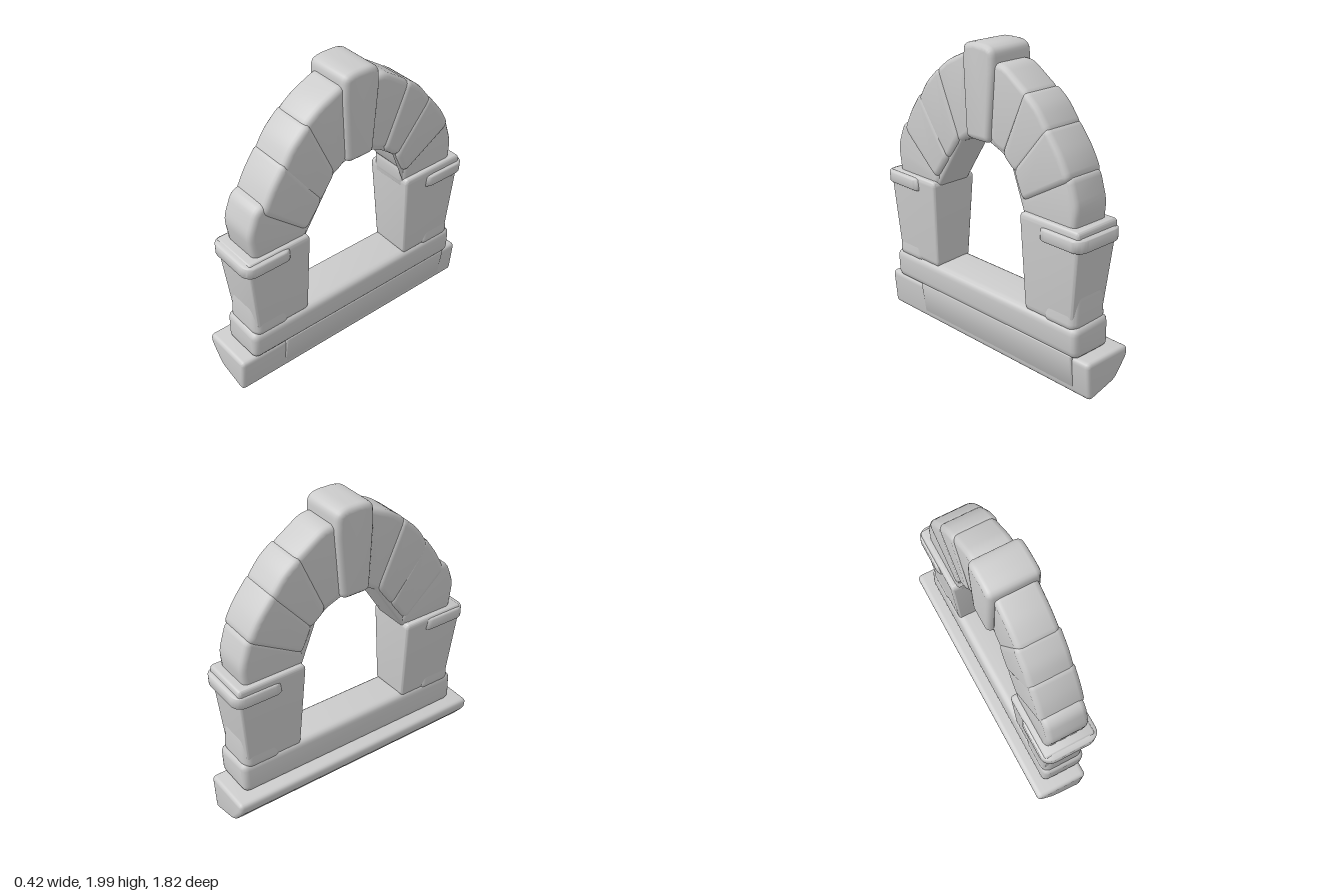
import * as THREE from 'three';
import { toCreasedNormals } from 'three/addons/utils/BufferGeometryUtils.js';
import { RoundedBoxGeometry } from 'three/addons/geometries/RoundedBoxGeometry.js';

const stone = new THREE.MeshStandardMaterial({ color: 0xcccccc });

// Closed outline with softened corners
function roundedShape(points, r) {
  const p = points.map(([x, y]) => new THREE.Vector2(x, y));
  const shape = new THREE.Shape();
  p.forEach((c, i) => {
    const cut = (q) => c.clone().lerp(q, Math.min(0.45, r / c.distanceTo(q)));
    const a = cut(p[(i + p.length - 1) % p.length]);
    const b = cut(p[(i + 1) % p.length]);
    if (i) shape.lineTo(a.x, a.y); else shape.moveTo(a.x, a.y);
    shape.quadraticCurveTo(c.x, c.y, b.x, b.y);
  });
  shape.closePath();
  return shape;
}

// Bevelled prism of an outline, centred on its depth
function prism(points, depth, bevel, r) {
  const geo = new THREE.ExtrudeGeometry(roundedShape(points, r), {
    depth: depth - 2 * bevel, bevelSize: bevel, bevelThickness: bevel,
    bevelOffset: -bevel, bevelSegments: 3, curveSegments: 4,
  });
  return geo.translate(0, 0, bevel - depth / 2);
}

export function createModel() {
  const model = new THREE.Group();

  const add = (name, geo, crease = 0.75) => {
    const mesh = new THREE.Mesh(toCreasedNormals(geo, crease), stone);
    mesh.name = name;
    model.add(mesh);
    return mesh;
  };

  // Outline given as [z, y], running across the wall from x0 to x1
  const slab = (name, outline, x0, x1, bevel, r) =>
    add(name, prism(outline, x1 - x0, bevel, r).rotateY(-Math.PI / 2).translate((x0 + x1) / 2, 0, 0));

  // Rounded block whose bottom and top rectangles [x0, x1, z0, z1] differ
  const tapered = (name, y0, y1, low, high, radius) => {
    const geo = new RoundedBoxGeometry(1, 1, 1, 4, radius);
    const pos = geo.attributes.position;
    for (let i = 0; i < pos.count; i++) {
      const t = pos.getY(i) + 0.5;
      const [xa, xb, za, zb] = low.map((v, k) => THREE.MathUtils.lerp(v, high[k], t));
      pos.setXYZ(i,
        THREE.MathUtils.lerp(xa, xb, pos.getX(i) + 0.5),
        THREE.MathUtils.lerp(y0, y1, t),
        THREE.MathUtils.lerp(za, zb, pos.getZ(i) + 0.5));
    }
    return add(name, geo, 0.9);
  };

  // Sill: undercut foundation stone, its side facing and the upper beam
  add('foundation', prism(
    [[-0.215, 0.255], [-0.215, 0.19], [-0.11, 0.06], [0.12, 0.0], [0.145, 0.255]], 1.82, 0.025, 0.035));
  add('foundationFacing', prism(
    [[0.0, 0.27], [0.16, 0.27], [0.125, 0.04], [0.0, 0.06]], 1.36, 0.01, 0.02)).position.z = -0.1;
  add('upperBeam', prism(
    [[-0.13, 0.47], [-0.135, 0.25], [0.16, 0.25], [0.17, 0.45]], 1.65, 0.04, 0.05));

  // Pillars, with a swollen foot stone and a rolled capital on the outer side
  for (const s of [1, -1]) {
    const side = s > 0 ? 'front' : 'back';
    const span = (x0, x1, a, b) => [x0, x1, Math.min(s * a, s * b), Math.max(s * a, s * b)];
    tapered(side + 'Pillar', 0.44, s > 0 ? 1.04 : 1.07,
      span(-0.12, 0.155, 0.4, 0.78), span(-0.165, 0.185, s > 0 ? 0.39 : 0.37, 0.84), 0.06);
    tapered(side + 'FootStone', 0.42, 0.69,
      span(-0.135, 0.17, 0.54, 0.81), span(-0.11, 0.14, 0.58, 0.795), 0.2);
    tapered(side + 'Capital', 0.935, 1.035,
      span(-0.175, 0.2, 0.52, 0.865), span(-0.175, 0.205, 0.53, 0.865), 0.2);
  }

  // Continuous masonry behind the arch stones
  slab('frontArchCore', [[0.4, 1.0], [0.76, 1.0], [0.76, 1.2], [0.67, 1.36], [0.53, 1.57],
    [0.36, 1.77], [0.05, 1.91], [0.05, 1.42], [0.16, 1.38]], -0.115, 0.14, 0.02, 0.02);
  slab('backArchCore', [[-0.37, 1.0], [-0.76, 1.0], [-0.75, 1.2], [-0.68, 1.4], [-0.55, 1.59],
    [-0.38, 1.76], [-0.05, 1.88], [-0.05, 1.42], [-0.18, 1.37], [-0.3, 1.28], [-0.37, 1.14]].reverse(),
  -0.115, 0.14, 0.02, 0.02);

  // Arch stones, from springer to crown
  const frontStones = [
    [[0.4, 1.0], [0.77, 1.0], [0.8, 1.2], [0.74, 1.36], [0.65, 1.39], [0.36, 1.1]],
    [[0.4, 1.06], [0.71, 1.33], [0.64, 1.47], [0.54, 1.61], [0.27, 1.24]],
    [[0.29, 1.21], [0.58, 1.53], [0.49, 1.68], [0.36, 1.8], [0.17, 1.38]],
    [[0.2, 1.34], [0.4, 1.77], [0.28, 1.86], [0.1, 1.94], [0.08, 1.42]],
  ];
  const backStones = [
    [[-0.37, 1.0], [-0.77, 1.0], [-0.79, 1.18], [-0.73, 1.37], [-0.36, 1.16]],
    [[-0.37, 1.12], [-0.74, 1.34], [-0.67, 1.47], [-0.55, 1.62], [-0.29, 1.3]],
    [[-0.31, 1.27], [-0.58, 1.58], [-0.48, 1.71], [-0.37, 1.79], [-0.19, 1.37]],
    [[-0.22, 1.36], [-0.41, 1.76], [-0.2, 1.9], [-0.1, 1.9], [-0.08, 1.42]],
  ].map((o) => o.reverse());
  const widths = [[-0.125, 0.15], [-0.13, 0.165], [-0.13, 0.16], [-0.12, 0.15]];
  widths.forEach(([x0, x1], i) => {
    slab('frontArchStone' + (i + 1), frontStones[i], x0, x1, 0.035, 0.05);
    slab('backArchStone' + (i + 1), backStones[i], x0, x1, 0.035, 0.05);
  });

  // Keystone, wider at the head
  slab('keystone', [[0.1, 1.41], [0.125, 1.85], [0.12, 1.98], [0.06, 2.0], [-0.08, 2.0],
    [-0.135, 1.97], [-0.14, 1.85], [-0.1, 1.41]], -0.155, 0.175, 0.035, 0.04);

  return model;
}
